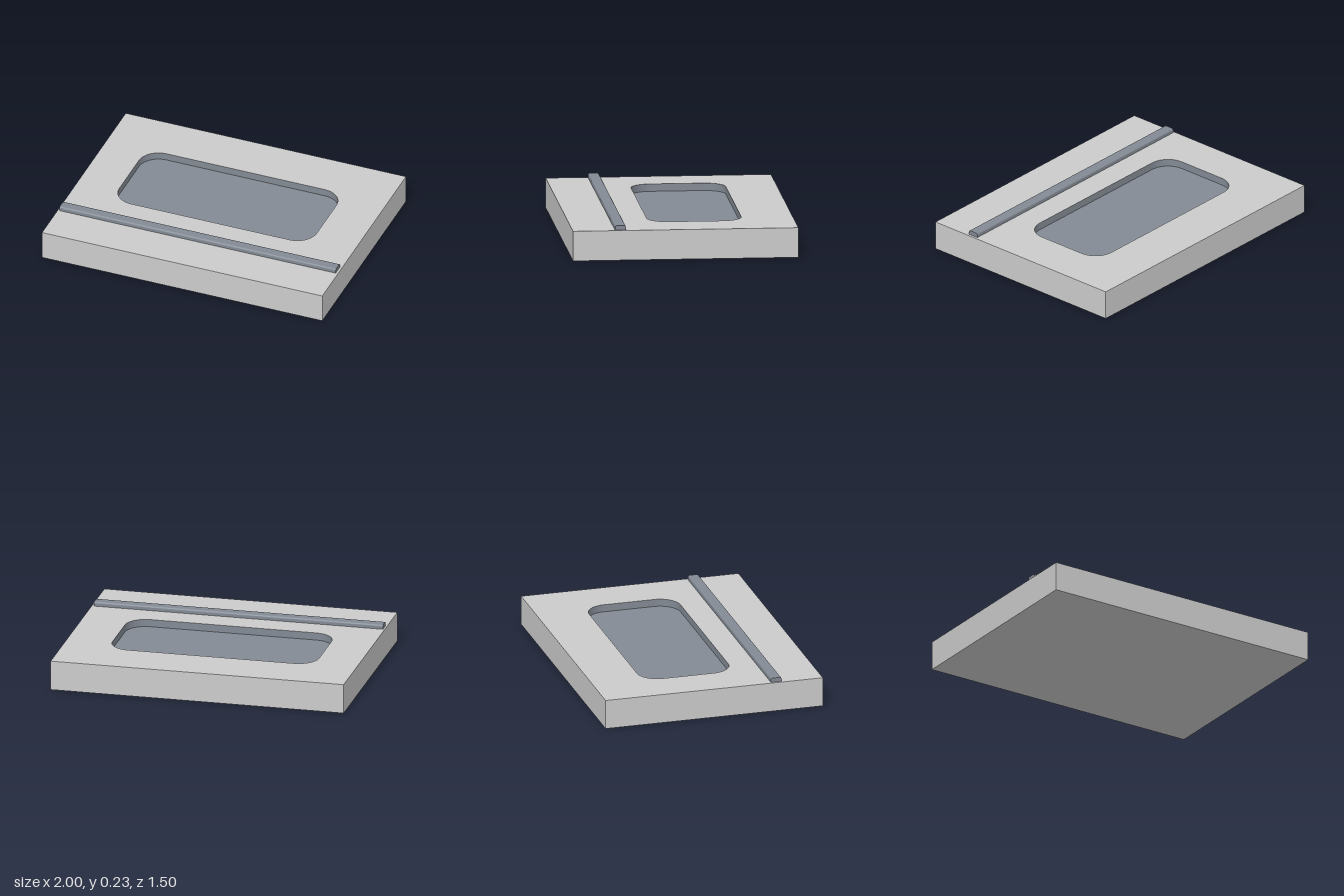
import * as THREE from 'three';

const W = 2, D = 1.5, H = 0.2;
const grey = new THREE.MeshStandardMaterial({ color: 0xcccccc });
const slate = new THREE.MeshStandardMaterial({ color: 0x838a94 });

// Rounded rectangle drawn counter-clockwise, starting midway along the bottom edge
function roundedRect(x0, y0, x1, y1, r, target = new THREE.Shape()) {
  target.moveTo((x0 + x1) / 2, y0);
  target.lineTo(x1 - r, y0);
  target.absarc(x1 - r, y0 + r, r, -Math.PI / 2, 0);
  target.absarc(x1 - r, y1 - r, r, 0, Math.PI / 2);
  target.absarc(x0 + r, y1 - r, r, Math.PI / 2, Math.PI);
  target.absarc(x0 + r, y0 + r, r, Math.PI, Math.PI * 1.5);
  target.lineTo((x0 + x1) / 2, y0);
  return target;
}

// Flat shape lying face up at height y
function flat(shape, y) {
  return new THREE.ShapeGeometry(shape, 8).rotateX(-Math.PI / 2).translate(0, y, 0);
}

// Inward-facing wall following an outline
function innerWall(points, y0, y1) {
  const pos = [], index = [];
  points.forEach((p, i) => {
    pos.push(p.x, y0, -p.y, p.x, y1, -p.y);
    if (i < points.length - 1) {
      const a = i * 2;
      index.push(a, a + 3, a + 2, a, a + 1, a + 3);
    }
  });
  const g = new THREE.BufferGeometry();
  g.setAttribute('position', new THREE.Float32BufferAttribute(pos, 3));
  g.setIndex(index);
  g.computeVertexNormals();
  return g;
}

export function createModel() {
  const root = new THREE.Group();
  const add = (name, geometry, material, parent = root) => {
    const m = new THREE.Mesh(geometry, material);
    m.name = name;
    parent.add(m);
    return m;
  };

  // Slab: a box without its top, closed by a sheet with the recess cut out
  const body = new THREE.Group();
  body.name = 'body';
  root.add(body);
  const box = new THREE.BoxGeometry(W, H, D).translate(0, H / 2, 0);
  box.setIndex([...box.index.array].filter((_, i) => i < 12 || i >= 18));
  box.clearGroups();
  add('bodySides', box, grey, body);

  const recess = roundedRect(-0.715, -0.22, 0.695, 0.41, 0.14);
  const top = new THREE.Shape([
    new THREE.Vector2(-W / 2, -D / 2), new THREE.Vector2(W / 2, -D / 2),
    new THREE.Vector2(W / 2, D / 2), new THREE.Vector2(-W / 2, D / 2),
  ]);
  top.holes.push(recess);
  add('bodyTop', flat(top, H), grey, body);

  // Recessed tray
  const floorY = H - 0.05;
  const tray = new THREE.Group();
  tray.name = 'recess';
  root.add(tray);
  add('recessFloor', flat(recess, floorY), slate, tray);
  add('recessWall', innerWall(recess.getPoints(8), floorY, H), slate, tray);

  // Raised strip with rounded upper edges, running across the front
  const halfW = 0.0365, h = 0.03, r = 0.012, length = 1.972;
  const profile = new THREE.Shape();
  profile.moveTo(-halfW, 0);
  profile.lineTo(halfW, 0);
  profile.lineTo(halfW, h - r);
  profile.absarc(halfW - r, h - r, r, 0, Math.PI / 2);
  profile.absarc(-halfW + r, h - r, r, Math.PI / 2, Math.PI);
  const strip = new THREE.ExtrudeGeometry(profile, { depth: length, bevelEnabled: false, curveSegments: 4 });
  strip.translate(0, 0, -length / 2).rotateY(Math.PI / 2);
  add('strip', strip, slate).position.set(-0.002, H, 0.4325);

  return root;
}
